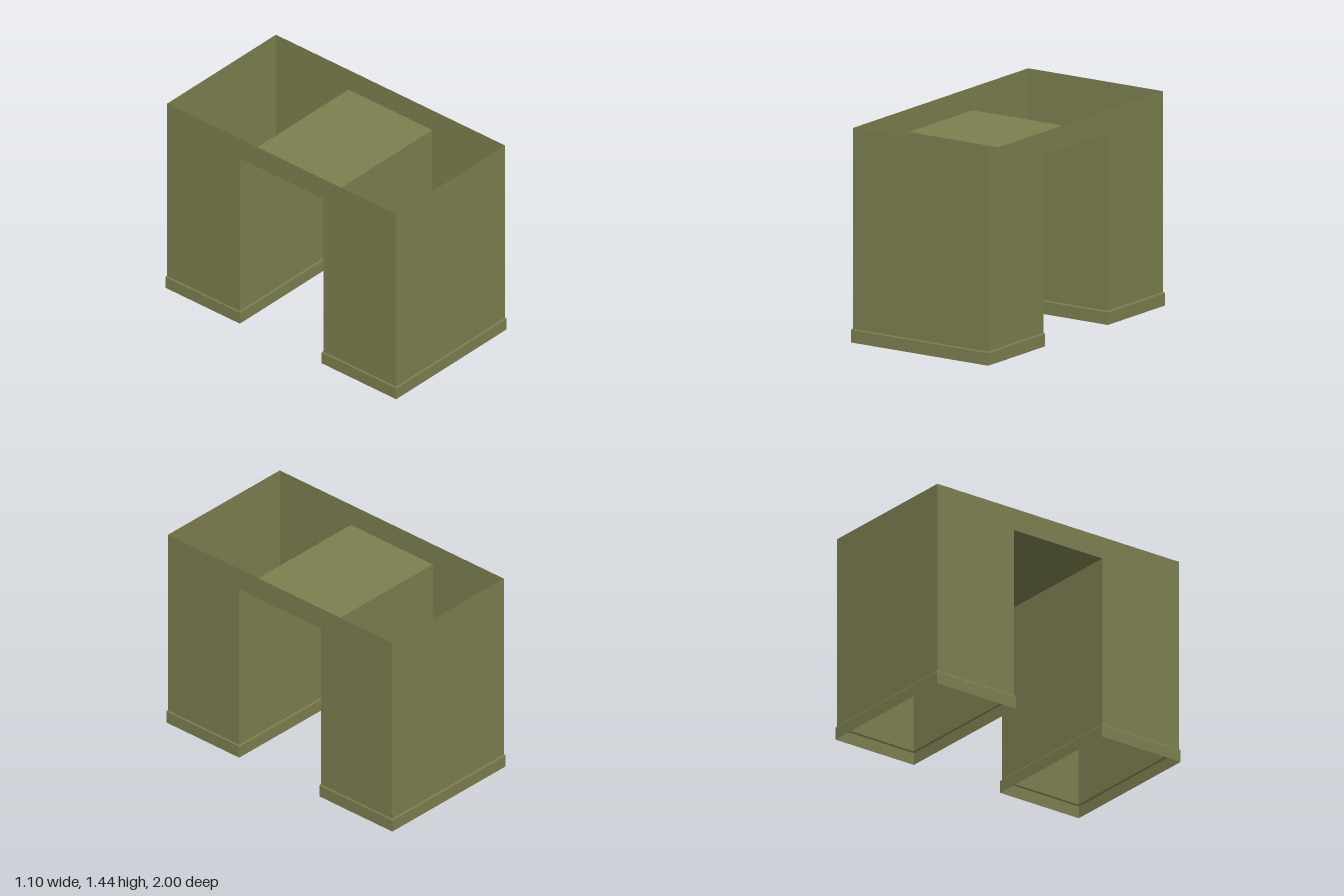
import * as THREE from 'three';

const W = 0.54;        // half width of the shell
const D = 0.993;       // half depth of the shell
const GAP = 0.363;     // half depth of the archway
const TOP = 1.443;     // upper rim
const ARCH = 1.288;    // archway ceiling
const TRIM = 0.092;    // height of the foot trim
const OUT = 0.008;     // trim overhang

const olive = new THREE.MeshStandardMaterial({ color: 0x7d7f50, side: THREE.DoubleSide });
olive.name = 'olive';

function addMesh(parent, name, geometry) {
  const mesh = new THREE.Mesh(geometry, olive);
  mesh.name = name;
  parent.add(mesh);
  return mesh;
}

// Open rectangular skirt: each level is [y, half width, half depth]
function skirtGeometry(levels) {
  const corners = [[-1, 1], [1, 1], [1, -1], [-1, -1]];
  const pos = [];
  for (let l = 0; l < levels.length - 1; l++) {
    for (let i = 0; i < 4; i++) {
      const at = (k, c) => {
        const [y, w, d] = levels[k];
        return [corners[c % 4][0] * w, y, corners[c % 4][1] * d];
      };
      const a = at(l, i), b = at(l, i + 1), c = at(l + 1, i + 1), d = at(l + 1, i);
      pos.push(...a, ...b, ...c, ...a, ...c, ...d);
    }
  }
  const g = new THREE.BufferGeometry();
  g.setAttribute('position', new THREE.Float32BufferAttribute(pos, 3));
  g.computeVertexNormals();
  return g;
}

export function createModel() {
  const model = new THREE.Group();
  model.name = 'openArchShell';

  // Side walls with the archway cut from the lower edge
  const arch = new THREE.Shape([
    [-D, TRIM], [-GAP, TRIM], [-GAP, ARCH], [GAP, ARCH],
    [GAP, TRIM], [D, TRIM], [D, TOP], [-D, TOP],
  ].map(([x, y]) => new THREE.Vector2(x, y)));
  for (const [s, name] of [[1, 'leftWall'], [-1, 'rightWall']]) {
    const wall = addMesh(model, name, new THREE.ShapeGeometry(arch));
    wall.rotation.y = s * Math.PI / 2;
    wall.position.x = s * W;
  }

  // Ceiling of the archway, sunk below the rim
  const ceiling = addMesh(model, 'archCeiling', new THREE.PlaneGeometry(2 * W, 2 * GAP));
  ceiling.rotation.x = -Math.PI / 2;
  ceiling.position.y = ARCH;

  // End walls, inner archway walls and foot trims, mirrored front to back
  const half = (D - GAP) / 2, mid = (D + GAP) / 2;
  for (const [s, side] of [[1, 'front'], [-1, 'back']]) {
    const end = addMesh(model, side + 'Wall', new THREE.PlaneGeometry(2 * W, TOP - TRIM));
    end.position.set(0, (TOP + TRIM) / 2, s * D);
    end.rotation.y = s > 0 ? 0 : Math.PI;

    const inner = addMesh(model, side + 'ArchWall', new THREE.PlaneGeometry(2 * W, ARCH - TRIM));
    inner.position.set(0, (ARCH + TRIM) / 2, s * GAP);
    inner.rotation.y = s > 0 ? Math.PI : 0;

    const trim = addMesh(model, side + 'FootTrim', skirtGeometry([
      [0, W + OUT, half + OUT],
      [TRIM - 0.008, W + OUT, half + OUT],
      [TRIM, W + 0.003, half + 0.003],
      [TRIM, W, half],
    ]));
    trim.position.z = s * mid;
  }
  return model;
}
